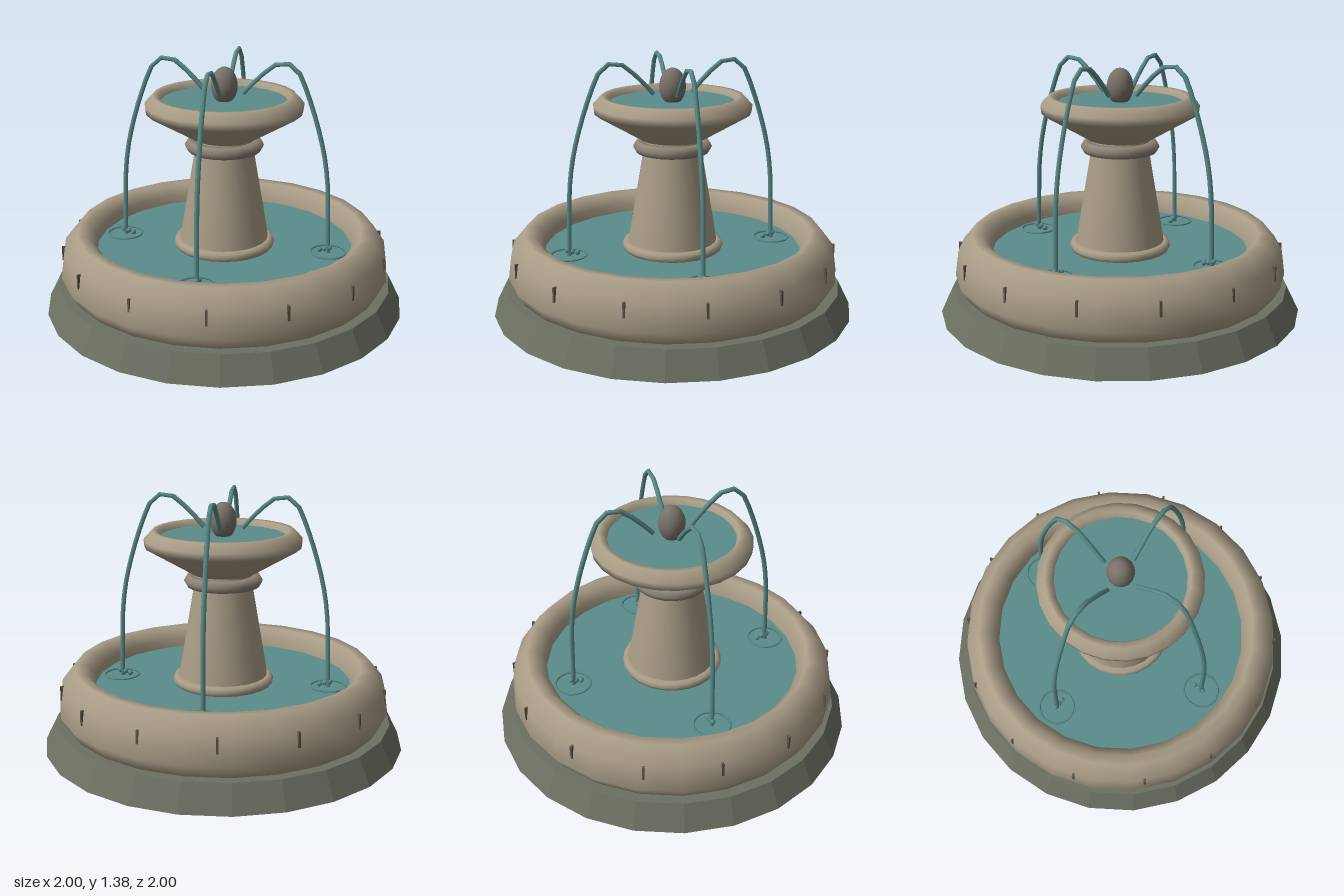
import * as THREE from 'three';

const mat = (color, extra = {}) => new THREE.MeshStandardMaterial({ color, ...extra });
const stone = mat(0xa89c86);
const darkStone = mat(0x6b7062, { flatShading: true });
const trim = mat(0x8f8678);
const ballStone = mat(0x79716a);
const groove = mat(0x5c5548);
const water = mat(0x5a8d8b);

const WATER_Y = 0.33;

function add(parent, name, geometry, material, x = 0, y = 0, z = 0) {
  const mesh = new THREE.Mesh(geometry, material);
  mesh.name = name;
  mesh.position.set(x, y, z);
  parent.add(mesh);
  return mesh;
}

const lathe = (profile, sides = 24) =>
  new THREE.LatheGeometry(profile.map(([r, y]) => new THREE.Vector2(r, y)), sides);

// Horizontal ring
const ring = (radius, tube, sides, segments) =>
  new THREE.TorusGeometry(radius, tube, sides, segments).rotateX(Math.PI / 2);

const disc = (radius) => new THREE.CircleGeometry(radius, 24).rotateX(-Math.PI / 2);

// One arching jet along +x, with its ripple and droplets
function createJet() {
  const jet = new THREE.Group();
  const arc = new THREE.CatmullRomCurve3(
    [[0.105, 1.2], [0.21, 1.31], [0.31, 1.375], [0.385, 1.345], [0.455, 1.2],
      [0.54, 0.92], [0.57, 0.73], [0.58, 0.5], [0.585, WATER_Y]]
      .map(([r, y]) => new THREE.Vector3(r, y, 0)));
  add(jet, 'jetStream', new THREE.TubeGeometry(arc, 18, 0.013, 6), water);
  add(jet, 'ripple', ring(0.097, 0.006, 5, 24), water, 0.587, WATER_Y + 0.004);
  for (let i = 0; i < 3; i++) {
    add(jet, 'droplet', new THREE.SphereGeometry(0.015, 8, 6), water,
      0.595 - i * 0.028, WATER_Y + 0.03 - i * 0.008, 0);
  }
  return jet;
}

export function createModel() {
  const fountain = new THREE.Group();
  fountain.name = 'fountain';

  // Plinth and lower basin
  add(fountain, 'plinth', new THREE.CylinderGeometry(0.93, 1, 0.14, 24), darkStone, 0, 0.07);
  add(fountain, 'basinWall', lathe([
    [0.84, 0.13], [0.875, 0.14], [0.915, 0.21], [0.895, 0.35], [0.82, 0.44],
    [0.765, 0.435], [0.715, 0.38], [0.71, 0.29],
  ]), stone);
  add(fountain, 'basinWater', disc(0.72), water, 0, WATER_Y);

  // Upright joints around the basin wall
  const joints = 14;
  for (let i = 0; i < joints; i++) {
    const a = (i / joints) * Math.PI * 2;
    const joint = add(fountain, 'wallJoint', new THREE.BoxGeometry(0.012, 0.08, 0.03), groove,
      Math.sin(a) * 0.889, 0.315, Math.cos(a) * 0.889);
    joint.rotation.y = a;
  }

  // Pedestal
  add(fountain, 'pedestal', lathe([[0.255, 0.3], [0.235, 0.44], [0.16, 0.88], [0.155, 0.97]]), stone);
  add(fountain, 'pedestalFoot', ring(0.25, 0.03, 8, 24), stone, 0, 0.35);
  add(fountain, 'pedestalCollar', ring(0.18, 0.035, 6, 24), trim, 0, 0.91);

  // Upper bowl
  add(fountain, 'upperBowl', lathe([
    [0, 0.95], [0.17, 0.95], [0.425, 1.1], [0.43, 1.14], [0.385, 1.188],
    [0.355, 1.185], [0.337, 1.15], [0.33, 1.12],
  ]), stone);
  add(fountain, 'upperWater', disc(0.34), water, 0, 1.155);
  add(fountain, 'finial', new THREE.SphereGeometry(0.072, 16, 12), ballStone, 0, 1.236)
    .scale.y = 1.4;

  // Four jets
  for (let i = 0; i < 4; i++) {
    const jet = createJet();
    jet.name = 'waterJet';
    jet.rotation.y = 0.303 + i * Math.PI / 2;
    fountain.add(jet);
  }
  return fountain;
}
